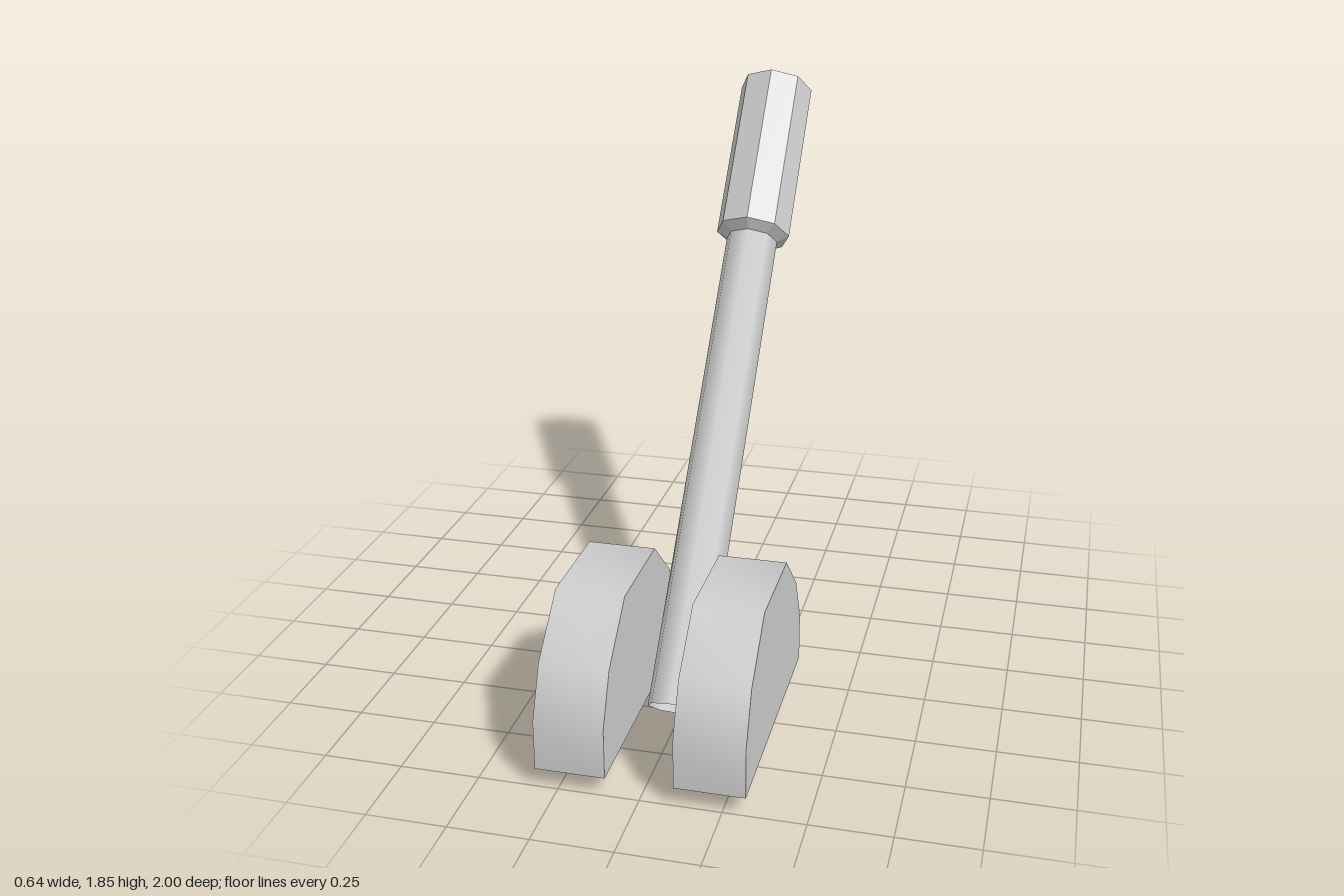
import * as THREE from 'three';

const smooth = new THREE.MeshStandardMaterial({ color: 0xcccccc, side: THREE.DoubleSide });
const faceted = new THREE.MeshStandardMaterial({ color: 0xcccccc, side: THREE.DoubleSide, flatShading: true });

// cheek outline as [z, y], from the front foot over the top to the back foot
const OUTLINE = [
  [1, 0.06], [1, 0.22], [0.93, 0.38], [0.76, 0.535],
  [0.43, 0.535], [0.26, 0.38], [0.18, 0.22], [0.18, 0.06],
];

function addMesh(parent, name, geometry, material) {
  const mesh = new THREE.Mesh(geometry, material);
  mesh.name = name;
  parent.add(mesh);
  return mesh;
}

// smooth band running over the outline between two x positions
function rimGeometry(x0, x1) {
  const positions = [];
  const index = [];
  OUTLINE.forEach(([z, y], i) => {
    positions.push(x0, y, z, x1, y, z);
    if (i < OUTLINE.length - 1) {
      const a = 2 * i;
      index.push(a, a + 1, a + 2, a + 1, a + 3, a + 2);
    }
  });
  const geometry = new THREE.BufferGeometry();
  geometry.setAttribute('position', new THREE.Float32BufferAttribute(positions, 3));
  geometry.setIndex(index);
  geometry.computeVertexNormals();
  return geometry;
}

// flat wall filling the outline, facing +x (dir 1) or -x (dir -1)
function wallGeometry(x, dir) {
  const shape = new THREE.Shape(OUTLINE.map(([z, y]) => new THREE.Vector2(-dir * z, y)));
  return new THREE.ShapeGeometry(shape).rotateY(dir * Math.PI / 2).translate(x, 0, 0);
}

// hollow cheek, open underneath
function makeCheek(name, x0, x1) {
  const cheek = new THREE.Group();
  cheek.name = name;
  addMesh(cheek, 'rim', rimGeometry(x0, x1), smooth);
  addMesh(cheek, 'leftWall', wallGeometry(x1, 1), smooth);
  addMesh(cheek, 'rightWall', wallGeometry(x0, -1), smooth);
  return cheek;
}

// tilted lever: octagonal shaft with a thicker faceted grip
function makeLever() {
  const lever = new THREE.Group();
  lever.name = 'lever';
  const length = 2.262, gripStart = 1.673, collar = 0.025;
  const shaftR = 0.09, gripR = 0.129;
  const shaftLength = gripStart - collar;

  addMesh(lever, 'shaft',
    new THREE.CylinderGeometry(shaftR, shaftR, shaftLength, 8, 1, true), smooth)
    .position.y = shaftLength / 2;
  addMesh(lever, 'gripCollar',
    new THREE.CylinderGeometry(gripR, shaftR, collar, 8, 1, true), faceted)
    .position.y = gripStart - collar / 2;
  addMesh(lever, 'grip',
    new THREE.CylinderGeometry(gripR, gripR, length - gripStart, 8, 1, true), faceted)
    .position.y = (length + gripStart) / 2;
  const cap = addMesh(lever, 'gripCap', new THREE.CircleGeometry(gripR, 8), faceted);
  cap.rotation.x = -Math.PI / 2;
  cap.position.y = length;

  lever.position.set(0, 0.06, 0.587);
  lever.rotation.x = THREE.MathUtils.degToRad(-41.2);
  return lever;
}

export function createModel() {
  const model = new THREE.Group();
  model.name = 'leverSwitch';
  model.add(makeCheek('leftCheek', 0.104, 0.32));
  model.add(makeCheek('rightCheek', -0.32, -0.104));
  model.add(makeLever());
  return model;
}
